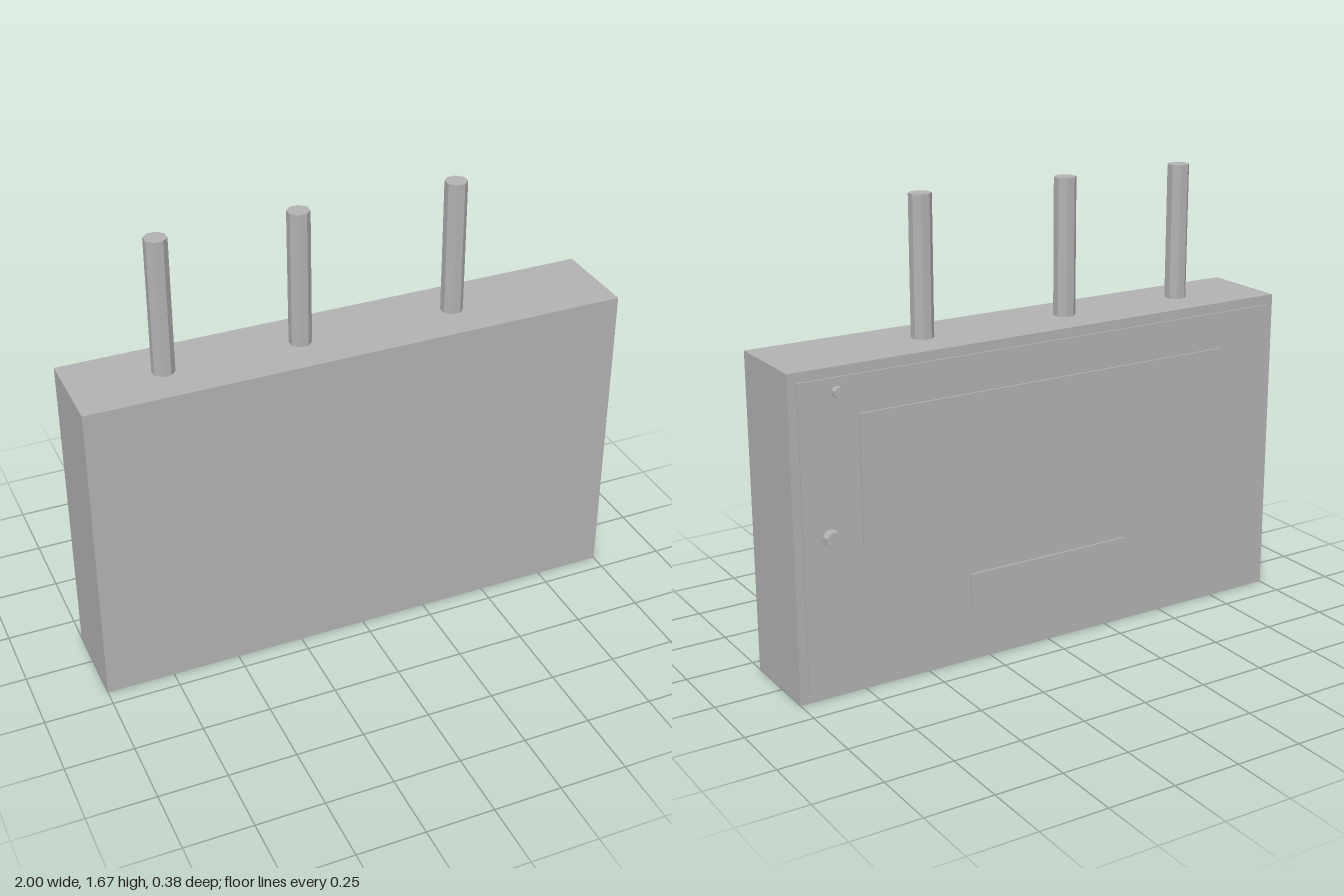
import * as THREE from 'three';

export function createModel() {
  const group = new THREE.Group();
  group.name = 'electricalCabinet';
  const grey = new THREE.MeshStandardMaterial({ color: 0xb2b2b2, flatShading: true });
  grey.name = 'grey';

  const add = (name, geometry, x, y, z) => {
    const mesh = new THREE.Mesh(geometry, grey);
    mesh.name = name;
    mesh.position.set(x, y, z);
    group.add(mesh);
    return mesh;
  };

  // Box given by its limits on each axis
  const box = (name, x0, x1, y0, y1, z0, z1) =>
    add(name, new THREE.BoxGeometry(x1 - x0, y1 - y0, z1 - z0),
      (x0 + x1) / 2, (y0 + y1) / 2, (z0 + z1) / 2);

  // Octagonal rod with flats facing the axes; flat is half its width
  const octagon = (flat, length) => {
    const r = flat / Math.cos(Math.PI / 8);
    return new THREE.CylinderGeometry(r, r, length, 8).rotateY(Math.PI / 8);
  };

  // Cabinet body, with the door and its raised panels on the back
  const back = -0.147;
  box('cabinet', -1, 1, 0, 1.17, back, 0.187);
  box('door', -0.968, 0.968, 0.035, 1.135, -0.154, back);
  box('windowPanel', -0.75, 0.75, 0.54, 1.0, -0.162, -0.154);
  box('namePlate', -0.333, 0.333, 0.2, 0.335, -0.162, -0.154);

  // Door knob and small lock
  const knob = (name, x, y, flat, end) => {
    const length = -0.154 - end;
    add(name, octagon(flat, length).rotateX(Math.PI / 2), x, y, end + length / 2);
  };
  knob('doorKnob', 0.868, 0.585, 0.03, -0.188);
  knob('doorLock', 0.83, 1.087, 0.018, -0.178);

  // Conduits rising from the top
  [-0.668, -0.171, 0.412].forEach((x, i) =>
    add('conduit' + (i + 1), octagon(0.0375, 0.5), x, 1.42, 0.02));

  return group;
}
